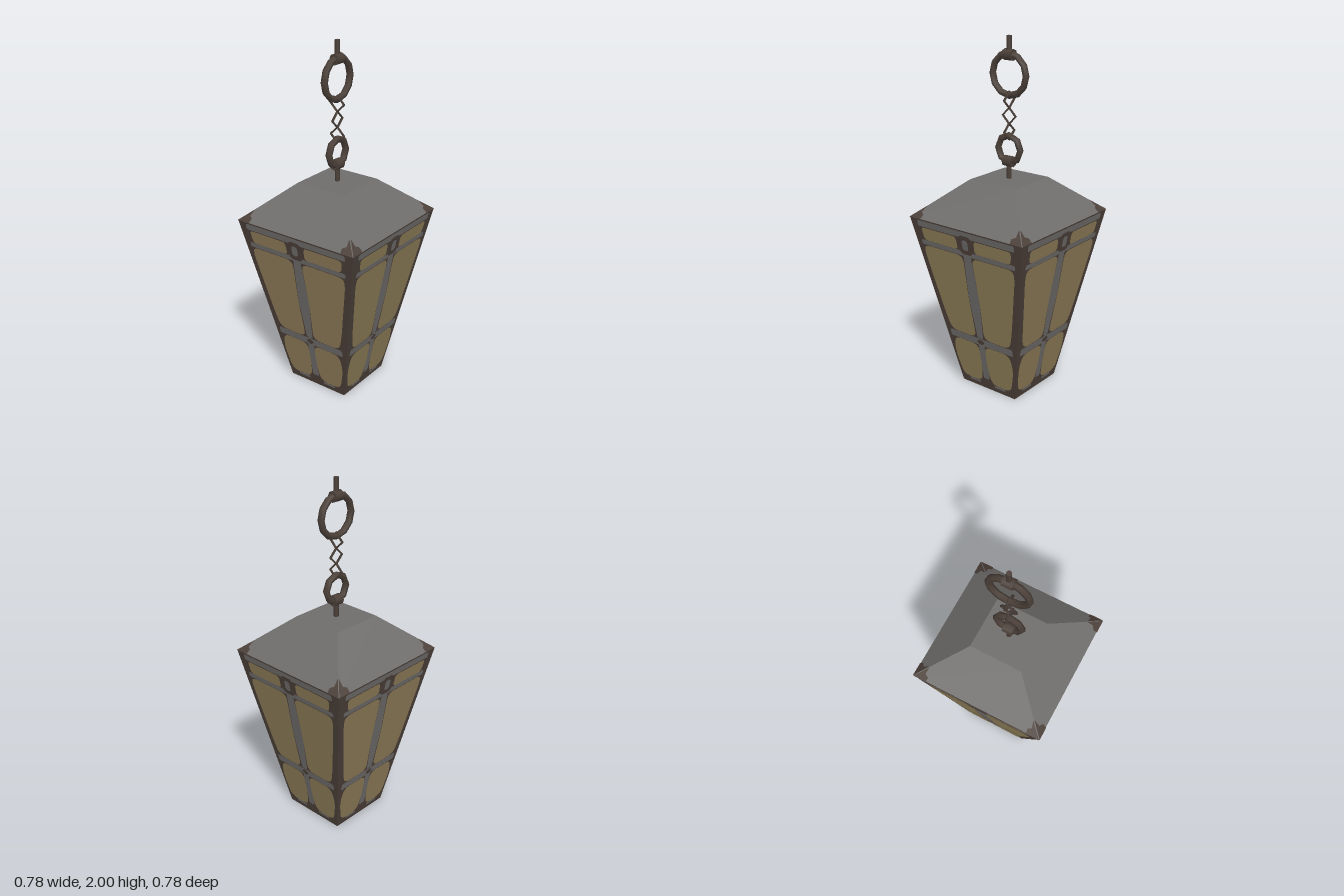
import * as THREE from 'three';

const EAVE = 1.025, TOP = 1.225;          // heights of eave and roof cap
const FOOT = 0.19, WIDE = 0.388, CAP = 0.153; // half widths

export function createModel() {
  const root = new THREE.Group();
  const mat = (name, color) => {
    const m = new THREE.MeshStandardMaterial({ color });
    m.name = name;
    return m;
  };
  const iron = mat('dark iron', 0x4c4039);
  const grey = mat('grey metal', 0x6f6d6b);
  const glass = mat('amber glass', 0x8e7d58);

  const add = (name, geometry, material, parent = root) => {
    const mesh = new THREE.Mesh(geometry, material);
    mesh.name = name;
    parent.add(mesh);
    return mesh;
  };

  // Four-sided tapered block with flat faces
  const frustum = (top, bottom, height, y, open) => {
    const g = new THREE.CylinderGeometry(top * Math.SQRT2, bottom * Math.SQRT2, height, 4, 1, open)
      .rotateY(Math.PI / 4).translate(0, y + height / 2, 0).toNonIndexed();
    g.computeVertexNormals();
    return g;
  };
  add('lanternBody', frustum(WIDE, FOOT, EAVE, 0, true), iron);
  add('roof', frustum(CAP, WIDE, TOP - EAVE, EAVE, false), grey);
  add('basePlate', new THREE.PlaneGeometry(FOOT * 2, FOOT * 2).rotateX(Math.PI / 2), grey);

  // Surface depth of the walls and of the roof slopes at height y
  const wall = y => FOOT + (WIDE - FOOT) * y / EAVE;
  const slope = y => WIDE + (CAP - WIDE) * (y - EAVE) / (TOP - EAVE);

  // Thin patch with softened corners, laid on a sloping face
  const patch = (points, round, surface, lift) => {
    const p = points.map(([x, y]) => new THREE.Vector2(x, y));
    const s = new THREE.Shape();
    p.forEach((c, i) => {
      const prev = p[(i + p.length - 1) % p.length], next = p[(i + 1) % p.length];
      const cut = q => c.clone().add(q.clone().sub(c).setLength(Math.min(round, c.distanceTo(q) * 0.48)));
      const a = cut(prev), b = cut(next);
      if (i) s.lineTo(a.x, a.y); else s.moveTo(a.x, a.y);
      if (round) s.quadraticCurveTo(c.x, c.y, b.x, b.y);
    });
    const g = new THREE.ShapeGeometry(s, 4);
    const pos = g.attributes.position;
    for (let i = 0; i < pos.count; i++) pos.setZ(i, surface(pos.getY(i)) + lift);
    g.computeVertexNormals();
    return g;
  };
  const rect = (x0, x1, y0, y1) => [[x0, y0], [x1, y0], [x1, y1], [x0, y1]];

  const panes = {
    upperPane: [[0.058, 0.903], [0.3, 0.903], [0.312, 0.978], [0.062, 0.978]],
    largePane: [[0.028, 0.35], [0.21, 0.35], [0.24, 0.46], [0.313, 0.82], [0.308, 0.87], [0.03, 0.87], [0.038, 0.6]],
    lowerPane: [[0.035, 0.045], [0.175, 0.045], [0.212, 0.2], [0.2, 0.302], [0.022, 0.302], [0.02, 0.15]],
  };
  const bars = {
    topBar: rect(-0.335, 0.335, 0.982, 1.018),
    upperBar: rect(-0.325, 0.325, 0.872, 0.902),
    middleBar: rect(-0.225, 0.225, 0.303, 0.347),
    tallMullion: [[-0.02, 0.35], [0.02, 0.35], [0.037, 0.6], [0.025, 0.885], [-0.025, 0.885], [-0.037, 0.6]],
    lowMullion: rect(-0.022, 0.022, 0.07, 0.31),
  };
  const bosses = {
    upperBoss: [[-0.03, 0.885], [0.03, 0.885], [0.055, 0.915], [0.055, 0.965], [0.03, 0.995], [-0.03, 0.995], [-0.055, 0.965], [-0.055, 0.915]],
    middleBoss: [[-0.03, 0.325], [0, 0.305], [0.03, 0.325], [0, 0.345]],
  };

  for (let k = 0; k < 4; k++) {
    const side = new THREE.Group();
    side.name = 'side' + (k + 1);
    side.rotation.y = k * Math.PI / 2;
    root.add(side);
    for (const [name, pts] of Object.entries(bars)) add(name, patch(pts, 0.012, wall, 0.002), grey, side);
    for (const [name, pts] of Object.entries(bosses)) add(name, patch(pts, 0.01, wall, 0.004), iron, side);
    add('bossCentre', patch(rect(-0.02, 0.02, 0.91, 0.972), 0.018, wall, 0.006), grey, side);
    for (const m of [1, -1]) {
      const flip = pts => pts.map(([x, y]) => [x * m, y]);
      for (const [name, pts] of Object.entries(panes))
        add(name, patch(flip(pts), name === 'upperPane' ? 0.022 : 0.045, wall, 0.003), glass, side);
      add('footTrim', patch(flip(rect(0.05, 0.13, 0.027, 0.043)), 0.006, wall, 0.002), grey, side);
      // Worn iron at the roof corners
      add('roofCorner', patch(flip([[0.388, 1.026], [0.31, 1.026], [0.305, 1.045], [0.326, 1.055], [0.318, 1.084]]),
        0, slope, 0.004), iron, side);
    }
  }

  // Hanging rods
  const rod = (name, y0, y1) => add(name,
    new THREE.CylinderGeometry(0.014, 0.014, y1 - y0, 8).translate(0, (y0 + y1) / 2, 0), iron);
  rod('upperRod', 1.89, 2);
  rod('lowerRod', TOP, 1.33);

  // Rings and diamond links; those facing sideways lie in the yz plane
  const ring = (name, y, radius, tube, sides, sideways) => {
    const g = new THREE.TorusGeometry(radius, tube, 6, sides);
    if (sideways) g.rotateY(Math.PI / 2);
    add(name, g.translate(0, y, 0), iron);
  };
  ring('largeRing', 1.795, 0.112, 0.019, 12, true);
  ring('smallRing', 1.39, 0.076, 0.019, 8, true);
  ring('upperLink', 1.66, 0.044, 0.007, 4, false);
  ring('middleLink', 1.573, 0.044, 0.007, 4, true);
  ring('lowerLink', 1.487, 0.044, 0.007, 4, false);

  // Collars joining rods to rings
  for (const [name, y] of [['upperCollar', 1.9], ['lowerCollar', 1.322]])
    add(name, new THREE.CylinderGeometry(0.031, 0.031, 0.058, 8).rotateX(Math.PI / 2).translate(0, y, 0), iron);

  return root;
}
